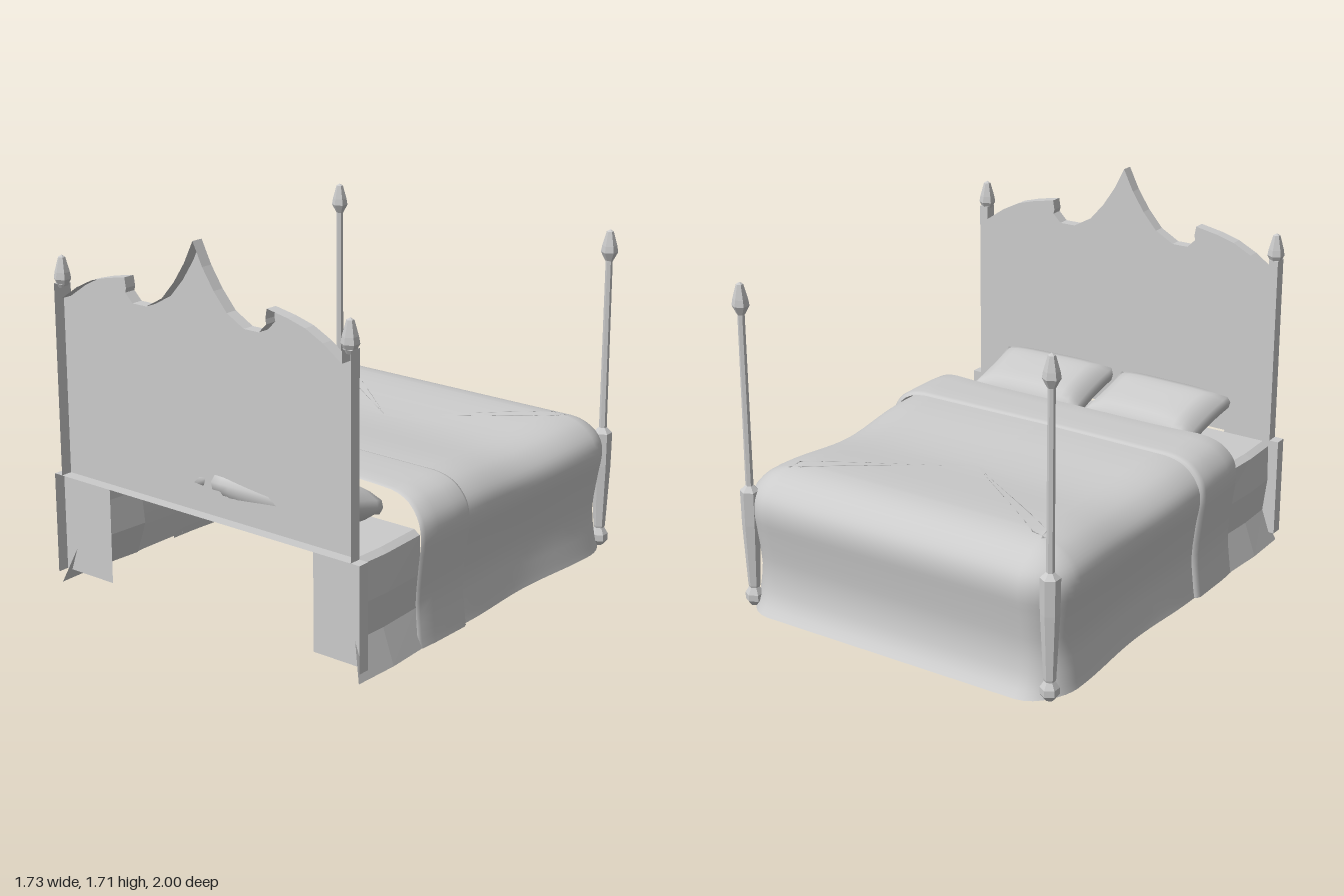
import * as THREE from 'three';
import { mergeVertices } from 'three/addons/utils/BufferGeometryUtils.js';

const grey = new THREE.MeshStandardMaterial({ color: 0xcccccc, side: THREE.DoubleSide });
const flat = new THREE.MeshStandardMaterial({ color: 0xcccccc, side: THREE.DoubleSide, flatShading: true });

function add(parent, name, geometry, material = grey) {
  const mesh = new THREE.Mesh(geometry, material);
  mesh.name = name;
  parent.add(mesh);
  return mesh;
}

// Skin a list of equally long rows of [x, y, z] points.
function skin(rows) {
  const n = rows[0].length, index = [];
  for (let i = 0; i < rows.length - 1; i++) {
    for (let j = 0; j < n - 1; j++) {
      const a = i * n + j, b = a + n;
      index.push(a, a + 1, b, b, a + 1, b + 1);
    }
  }
  const g = new THREE.BufferGeometry();
  g.setAttribute('position', new THREE.Float32BufferAttribute(rows.flat(2), 3));
  g.setIndex(index);
  g.computeVertexNormals();
  return g;
}

// Soft swell of the bedding along its length
const wave = z => Math.cos((Math.min(z, 0.2) + 0.75) * Math.PI * 2 / 0.95);
const topAt = z => 0.652 + 0.014 * wave(z);
const widthAt = z => 0.815 + 0.012 * wave(z);

// Drape: outward offset and height, from the hem up over the rounded edge
const drape = new THREE.SplineCurve([
  [0.005, 0], [-0.005, 0.06], [-0.02, 0.2], [0, 0.36], [0.016, 0.46],
  [0.008, 0.53], [-0.025, 0.58], [-0.08, 0.62], [-0.15, 0.642], [-0.22, 0.65],
].map(p => new THREE.Vector2(...p))).getPoints(27);

// Blanket: U-shaped plan round the foot, draped sides, closed over the top
function blanketGeometry() {
  const half = [];
  for (let i = 0; i <= 16; i++) {
    const z = 0.27 - i / 16 * 1.055;
    half.push([widthAt(z), z, 1, 0]);
  }
  for (let i = 1; i <= 8; i++) {
    const a = i / 8 * Math.PI / 2, c = Math.cos(a), s = Math.sin(a);
    half.push([0.655 + 0.17 * c, -0.785 - 0.17 * s, c, -s]);
  }
  for (let i = 1; i <= 5; i++) half.push([0.655 * (1 - i / 5), -0.955, 0, -1]);
  const path = [...half, ...half.slice(0, -1).reverse().map(([x, z, nx, nz]) => [-x, z, -nx, nz])];
  return skin(path.map(([x, z, nx, nz]) => {
    const row = drape.map(d => {
      // hem kicks out at the foot only
      const off = d.x + 0.04 * nz ** 4 * Math.max(0, 1 - d.y / 0.1) ** 2;
      const pz = z + nz * off;
      return [x + nx * off, d.y * topAt(pz) / 0.655, pz];
    });
    const [ex, , ez] = row[row.length - 1];
    const tz = Math.max(z, -0.3);
    for (let k = 1; k <= 8; k++) {
      const t = k / 8, pz = ez + (tz - ez) * t;
      row.push([ex * (1 - t), topAt(pz) * (0.65 + 0.005 * t) / 0.655, pz]);
    }
    return row;
  }));
}

// Turned-back band: a thicker strip lying over the head end of the blanket
function bandGeometry() {
  const rows = [];
  for (const [t, lift] of [[0, 0], [0.02, 0.012], [0.08, 0.02], [0.35, 0.02], [0.7, 0.02], [0.95, 0.015], [1, 0.002]]) {
    const side = drape.map(d => [widthAt(0.2) + d.x * 0.8 + lift, d.y * topAt(0.2) / 0.655 + lift * 0.6 * d.y / 0.65]);
    const [ex, ey] = side[side.length - 1];
    for (let k = 1; k <= 8; k++) side.push([ex * (1 - k / 8), ey + 0.004 * k / 8]);
    const section = [...side, ...side.slice(0, -1).reverse().map(([x, y]) => [-x, y])];
    rows.push(section.map(([x, y]) => {
      const front = 0.495 + 0.055 * Math.min(1, (Math.abs(x) / 0.84) ** 4);
      return [x, y, 0.215 + (front - 0.215) * t];
    }));
  }
  return skin(rows);
}

// Headboard: thin crested panel at the back of a shallow rim, open at the front
function addHeadboard(bed) {
  const crest = [
    [0, 1.71], [0.05, 1.61], [0.11, 1.52], [0.18, 1.44], [0.27, 1.39], [0.35, 1.39], [0.39, 1.43],
    [0.385, 1.45], [0.393, 1.495], [0.5, 1.475], [0.59, 1.45], [0.68, 1.405], [0.775, 1.34],
    [0.775, 1.4], [0.82, 1.4], [0.82, 0.52], [0.865, 0.52], [0.865, 0.05],
  ];
  const mirror = list => [...list.slice().reverse().map(([x, y]) => [-x, y]), ...list.slice(1)];
  const legs = [[0.58, 0.05], [0.58, 0.52]];
  const outline = [...mirror(crest), ...legs, ...legs.slice().reverse().map(([x, y]) => [-x, y])];
  const shape = new THREE.Shape(outline.map(p => new THREE.Vector2(...p)));
  const strip = list => skin([0.93, 0.985].map(z => list.map(([x, y]) => [x, y, z])));
  const headboard = new THREE.Group();
  headboard.name = 'headboard';
  add(headboard, 'panel', new THREE.ShapeGeometry(shape).translate(0, 0, 0.93), flat);
  add(headboard, 'rim', strip(mirror(crest)), flat);
  add(headboard, 'lowerLedge', strip([[-0.82, 0.52], [0.82, 0.52]]), flat);
  bed.add(headboard);
}

// Pillow: a box puffed up in the middle, with pinched sides and a tilt
function pillowGeometry() {
  const g = new THREE.BoxGeometry(2, 2, 2, 14, 2, 12);
  g.deleteAttribute('uv');
  g.deleteAttribute('normal');
  const p = g.attributes.position;
  for (let i = 0; i < p.count; i++) {
    const x = p.getX(i), y = p.getY(i), z = p.getZ(i);
    const puff = ((1 - x ** 4) * (1 - z ** 4)) ** 0.5;
    const bulge = 1 + 0.03 * (1 - y * y);
    p.setXYZ(i,
      x * (0.295 - 0.012 * (1 - z * z)) * bulge,
      y * (0.03 + 0.063 * puff),
      z * (0.195 - 0.005 * (1 - x * x)) * bulge);
  }
  const smooth = mergeVertices(g);
  smooth.rotateX(-0.24);
  smooth.computeVertexNormals();
  return smooth;
}

const lathe = (points, sides) =>
  new THREE.LatheGeometry(points.map(p => new THREE.Vector2(...p)), sides);

export function createModel() {
  const bed = new THREE.Group();
  bed.name = 'bed';

  addHeadboard(bed);

  // Mattress: thin sheet over top and sides at the head end, hem flaring forward
  const side = [[0.78, 0.51], [0.81, 0.49], [0.815, 0.32], [0.795, 0.16], [0.85, 0]];
  const section = [...side.slice().reverse(), ...side.map(([x, y]) => [-x, y])];
  const sheet = [[0.505, 0.99, 0], [0.75, 1.01, 0], [0.93, 1.005, 0.045]].map(([z, w, kick]) =>
    section.map(([x, y]) => [x * w, y, z + (y === 0 ? kick : 0)]));
  add(bed, 'mattress', skin(sheet), flat);

  add(bed, 'blanket', blanketGeometry());
  add(bed, 'blanketFold', bandGeometry());

  const pillow = pillowGeometry();
  for (const [x, z, turn] of [[-0.305, 0.728, -0.03], [0.335, 0.74, 0.04]]) {
    const mesh = add(bed, 'pillow', pillow);
    mesh.position.set(x, 0.627, z);
    mesh.rotation.y = turn;
  }

  // Finials on all corners, slender posts at the foot
  const finial = lathe([[0, 1.38], [0.018, 1.38], [0.039, 1.42], [0.034, 1.45], [0.016, 1.515], [0, 1.525]], 6);
  const post = lathe([
    [0, 0], [0.022, 0.005], [0.042, 0.03], [0.042, 0.06], [0.024, 0.09], [0.027, 0.1],
    [0.042, 0.4], [0.044, 0.56], [0.018, 0.585], [0.016, 1.39],
  ], 6);
  for (const s of [-1, 1]) {
    add(bed, 'headFinial', finial, flat).position.set(s * 0.795, 0, 0.957);
    const footPost = new THREE.Group();
    footPost.name = 'footPost';
    footPost.position.set(s * 0.785, 0, -0.927);
    add(footPost, 'shaft', post, flat);
    add(footPost, 'finial', finial, flat);
    bed.add(footPost);
  }
  return bed;
}
